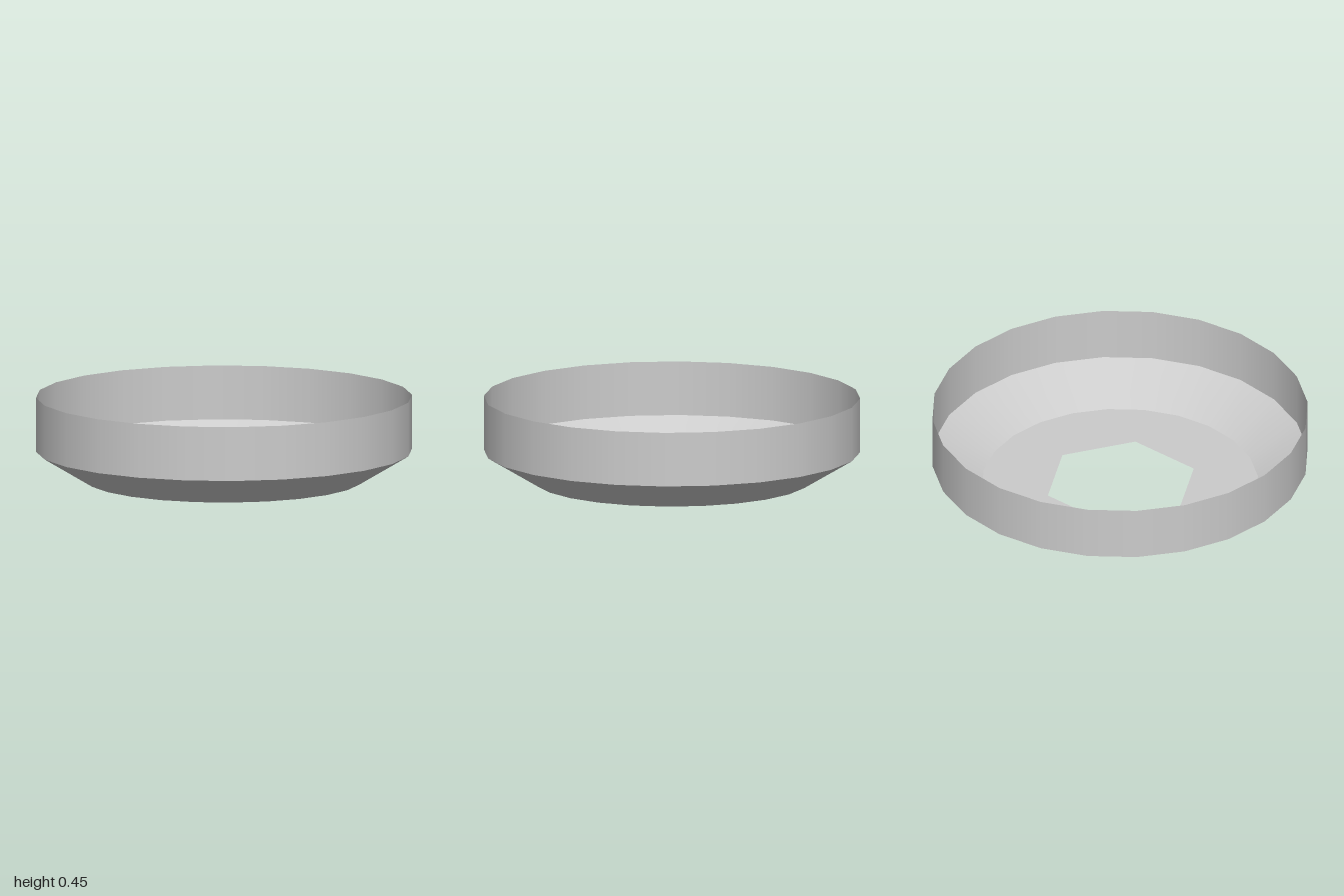
import * as THREE from 'three';

const SIDES = 24;
const RIM_R = 1.0, FLOOR_R = 0.735, HOLE_R = 0.41;
const FLARE_TOP = 0.16, WALL_TOP = 0.45;
const RING_TURN = THREE.MathUtils.degToRad(-2.3);
const HOLE_TURN = THREE.MathUtils.degToRad(11.7);

const material = new THREE.MeshStandardMaterial({ color: 0xcccccc, side: THREE.DoubleSide });

function part(name, geometry) {
  const mesh = new THREE.Mesh(geometry, material);
  mesh.name = name;
  return mesh;
}

// Open band between two heights
function band(topR, bottomR, y0, y1) {
  return new THREE.CylinderGeometry(topR, bottomR, y1 - y0, SIDES, 1, true, RING_TURN)
    .translate(0, (y0 + y1) / 2, 0);
}

// Corners of a regular polygon, turned from +z towards +x
function polygon(sides, radius, turn, offset = 0) {
  return Array.from({ length: sides }, (_, i) => {
    const a = turn + (i / sides) * Math.PI * 2;
    return new THREE.Vector2(offset + radius * Math.sin(a), offset + radius * Math.cos(a));
  });
}

export function createModel() {
  const model = new THREE.Group();
  model.name = 'openDish';

  // Upright wall and the flare below it
  model.add(part('wall', band(RIM_R, RIM_R, FLARE_TOP, WALL_TOP)));
  model.add(part('flare', band(RIM_R, FLOOR_R, 0, FLARE_TOP)));

  // Flat floor with a hexagonal hole
  const floor = new THREE.Shape(polygon(SIDES, FLOOR_R, RING_TURN));
  floor.holes.push(new THREE.Path(polygon(6, HOLE_R, HOLE_TURN, 0.005)));
  model.add(part('floor', new THREE.ShapeGeometry(floor).rotateX(Math.PI / 2)));

  return model;
}
